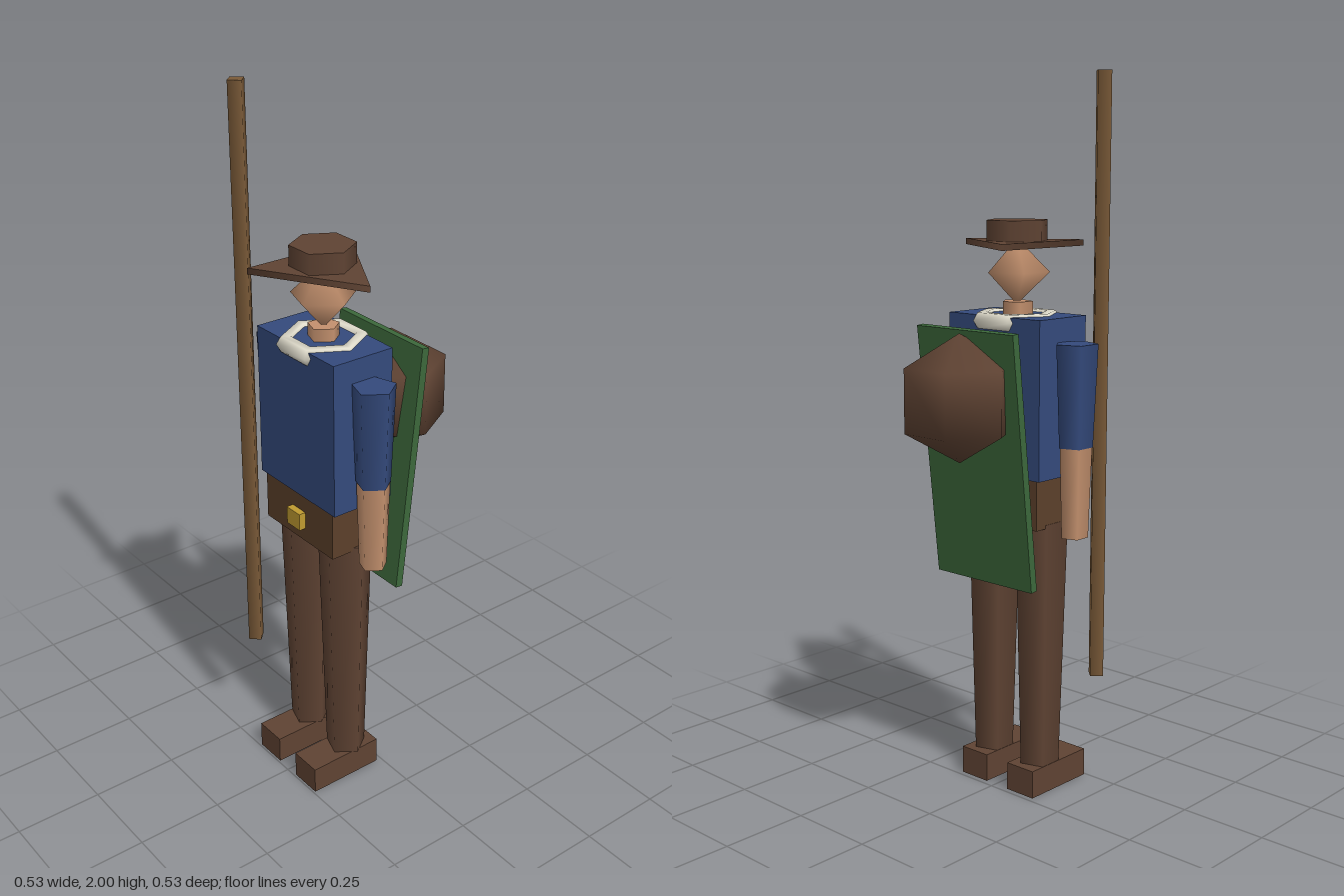
import * as THREE from 'three';

const CX = -0.007, CZ = 0.095; // body axis

function material(name, color) {
  const m = new THREE.MeshStandardMaterial({ color });
  m.name = name;
  return m;
}

export function createModel() {
  const group = new THREE.Group();
  const brown = material('brown cloth', 0x5f4333);
  const leather = material('belt leather', 0x5c402b);
  const blue = material('blue shirt', 0x344a7c);
  const skin = material('skin', 0xc4916e);
  const green = material('green board', 0x3c683b);
  const wood = material('staff wood', 0x7a5a38);
  const gold = material('buckle gold', 0xbf9a30);
  const cream = material('cream collar', 0xe0dccc);

  const add = (name, geometry, mat, x, y, z) => {
    const mesh = new THREE.Mesh(geometry, mat);
    mesh.name = name;
    mesh.position.set(x, y, z);
    group.add(mesh);
    return mesh;
  };
  const box = (name, mat, w, h, d, x, y, z) =>
    add(name, new THREE.BoxGeometry(w, h, d), mat, x, y, z);
  // upright prism between two heights, one corner pointing to +x
  const prism = (name, mat, sides, rTop, rBottom, y0, y1, x = CX, z = CZ) =>
    add(name, new THREE.CylinderGeometry(rTop, rBottom, y1 - y0, sides, 1, false, Math.PI / 2),
      mat, x, (y0 + y1) / 2, z);

  // Legs, shoes and arms
  for (const [side, s] of [['left', 1], ['right', -1]]) {
    const legX = CX + s * 0.088, armX = CX + s * 0.211;
    box(side + 'Shoe', brown, 0.096, 0.08, 0.228, legX, 0.04, 0.13);
    prism(side + 'Leg', brown, 5, 0.078, 0.058, 0.08, 0.79, legX);
    prism(side + 'Sleeve', blue, 5, 0.0605, 0.049, 1.01, 1.29, armX);
    prism(side + 'Forearm', skin, 5, 0.047, 0.039, 0.76, 1.01, armX);
  }

  // Torso and belt
  box('torso', blue, 0.333, 0.435, 0.19, CX, 1.1375, CZ);
  box('belt', leather, 0.3, 0.14, 0.175, CX, 0.85, 0.0975);
  box('buckle', gold, 0.057, 0.05, 0.025, CX, 0.845, 0.1925);

  // Collar ring, neck and head
  const collar = add('collar', new THREE.TorusGeometry(0.1, 0.025, 6, 6), cream, CX, 1.34, CZ);
  collar.rotation.x = Math.PI / 2;
  prism('neck', skin, 5, 0.044, 0.044, 1.34, 1.39);
  const head = add('head', new THREE.SphereGeometry(0.09, 5, 2), skin, CX, 1.47, CZ);
  head.rotation.y = Math.PI;

  // Hat
  prism('hatBrim', brown, 3, 0.193, 0.193, 1.537, 1.554);
  prism('hatCrown', brown, 6, 0.0875, 0.0875, 1.554, 1.61);

  // Back board, leaning backwards, with the round pack on it
  const board = box('backBoard', green, 0.352, 0.71, 0.022, CX, 0.975, -0.066);
  board.rotation.x = -0.11;
  add('pack', new THREE.SphereGeometry(0.175, 6, 3), brown, CX, 1.145, -0.132);

  // Staff
  prism('staff', wood, 4, 0.026, 0.026, 0.34, 2, -0.218, 0.2);

  return group;
}
